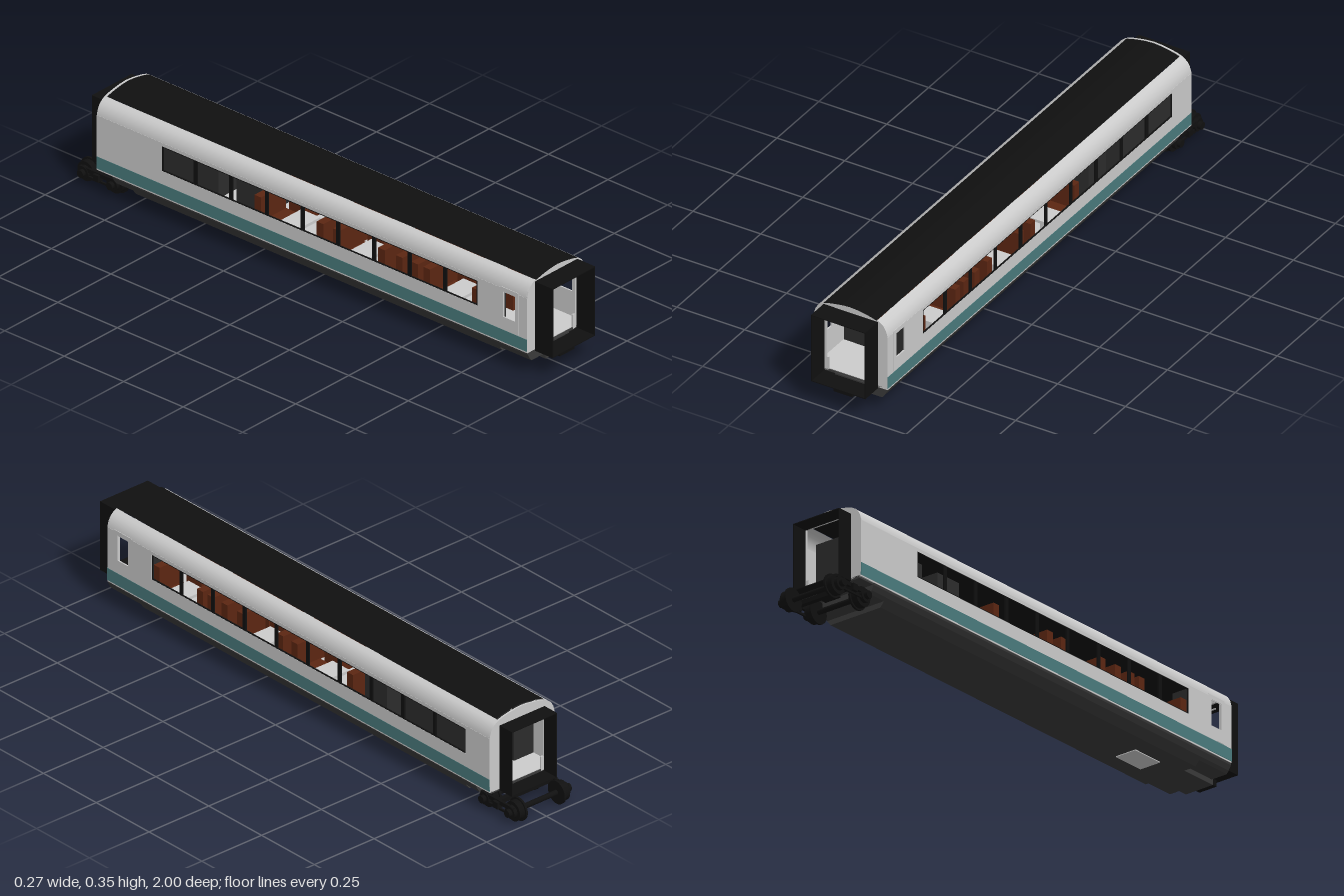
import * as THREE from 'three';

const mat = (color) => new THREE.MeshStandardMaterial({ color, side: THREE.DoubleSide });

export function createModel() {
  const root = new THREE.Group();
  const grey = mat(0xcccccc), black = mat(0x101010), dark = mat(0x3a3a3a),
    inner = mat(0x2c2c2c), teal = mat(0x4a7b7d), brown = mat(0x5c2612);

  const add = (name, geo, m) => {
    const mesh = new THREE.Mesh(geo, m);
    mesh.name = name;
    root.add(mesh);
    return mesh;
  };
  // box given by its limits
  const box = (name, m, x0, x1, y0, y1, z0, z1) =>
    add(name, new THREE.BoxGeometry(x1 - x0, y1 - y0, z1 - z0), m)
      .position.set((x0 + x1) / 2, (y0 + y1) / 2, (z0 + z1) / 2);
  const shapeOf = (pts) => new THREE.Shape(pts.map((p) => new THREE.Vector2(...p)));
  const rect = (a, b, c, d) => [[a, c], [b, c], [b, d], [a, d]];
  const holed = (outer, ...holes) => {
    const s = shapeOf(outer);
    s.holes = holes.map((h) => new THREE.Path(h.map((p) => new THREE.Vector2(...p))));
    return s;
  };
  const prism = (shape, z0, z1) =>
    new THREE.ExtrudeGeometry(shape, { depth: z1 - z0, bevelEnabled: false }).translate(0, 0, z0);
  // side panel drawn in (z, y), spanning x0..x1
  const sidePanel = (shape, x0, x1) =>
    new THREE.ExtrudeGeometry(shape, { depth: x1 - x0, bevelEnabled: false })
      .rotateY(-Math.PI / 2).translate(x1, 0, 0);
  // smooth open sheet along z, following an (x, y) profile
  const sheet = (pts, z0, z1) => {
    const pos = [], idx = [];
    pts.forEach(([x, y], i) => {
      pos.push(x, y, z0, x, y, z1);
      if (i) idx.push(2 * i - 2, 2 * i, 2 * i - 1, 2 * i - 1, 2 * i, 2 * i + 1);
    });
    const g = new THREE.BufferGeometry();
    g.setAttribute('position', new THREE.Float32BufferAttribute(pos, 3));
    g.setIndex(idx);
    g.computeVertexNormals();
    return g;
  };
  const mirror = (pts) => pts.map(([x, y]) => [-x, y]).reverse();

  const Z0 = -0.885, Z1 = 0.925;
  const shoulder = [[0.136, 0.268], [0.135, 0.285], [0.13, 0.302], [0.121, 0.317], [0.11, 0.326], [0.098, 0.333]];
  const crown = [[0.098, 0.333], [0.078, 0.339], [0.053, 0.344], [0.027, 0.348], [0, 0.35]];
  const fullCrown = [...crown, ...mirror(crown).slice(1)];

  // side walls with window band, pillars, door and stripe
  for (const s of [1, -1]) {
    const side = s > 0 ? 'left' : 'right';
    const span = (a, b) => (s > 0 ? [a, b] : [-b, -a]);
    const bandEnd = s > 0 ? -0.77 : -0.61;
    const doorWindow = rect(0.825, 0.875, 0.18, 0.27);
    const wall = holed(rect(Z0, Z1, 0.085, 0.28), rect(bandEnd, 0.715, 0.18, 0.268), doorWindow);
    add(side + 'Wall', sidePanel(wall, ...span(0.132, 0.136)), grey);
    add(side + 'Door', sidePanel(holed(rect(0.812, 0.89, 0.136, 0.285), doorWindow), ...span(0.135, 0.137)), grey);
    box(side + 'Stripe', teal, ...span(0.134, 0.1368), 0.09, 0.133, Z0, Z1);
    for (let z = 0.578; z > bandEnd + 0.05; z -= 0.15)
      box(side + 'WindowPillar', black, ...span(0.13, 0.135), 0.178, 0.27, z - 0.007, z + 0.007);
    add(side + 'WindowFrame', sidePanel(holed(rect(bandEnd - 0.003, 0.718, 0.177, 0.271),
      rect(bandEnd + 0.003, 0.712, 0.183, 0.265)), ...span(0.131, 0.1355)), black);
    add(side + 'Shoulder', sheet(s > 0 ? shoulder : mirror(shoulder), Z0, Z1), grey);
  }

  // black roof panel
  add('roof', sheet(fullCrown.map(([x, y]) => [x, y + 0.001]), -0.875, 0.93), black);

  // end arches, open at the doorway
  const arch = shapeOf([
    [0.132, 0.085], ...shoulder, ...crown.slice(1), ...mirror(crown).slice(1), ...mirror(shoulder).slice(1),
    [-0.132, 0.085], [-0.08, 0.085], [-0.08, 0.135], [-0.089, 0.135], [-0.089, 0.31],
    [0.089, 0.31], [0.089, 0.135], [0.08, 0.135], [0.08, 0.085],
  ]);
  add('frontEnd', prism(arch, Z1 - 0.006, Z1), grey);
  add('rearEnd', prism(arch, Z0, Z0 + 0.006), grey);
  box('frontHeaderRail', grey, -0.089, 0.089, 0.277, 0.28, 0.9, 0.905);

  // gangway tunnels
  const tunnel = (w, top) => holed(rect(-w, w, 0.08, top), rect(-w + 0.003, w - 0.003, 0.083, top - 0.003));
  add('frontGangway', prism(tunnel(0.1, 0.327), Z1, 1), black);
  add('rearGangway', prism(tunnel(0.094, 0.313), -0.943, Z0), black);

  // skirt and underside, shallower towards the ends
  const skirt = (low, w) => shapeOf([
    [-w, low], [w, low], [0.124, 0.062], [0.133, 0.078], [0.135, 0.09],
    [-0.135, 0.09], [-0.133, 0.078], [-0.124, 0.062],
  ]);
  add('skirt', prism(skirt(0.034, 0.102), -0.75, 0.79), dark);
  add('frontSkirt', prism(skirt(0.052, 0.116), 0.79, Z1), dark);
  add('rearSkirt', prism(skirt(0.052, 0.116), -0.82, -0.75), dark);
  box('rearUnderfloor', dark, -0.13, 0.13, 0.08, 0.09, Z0, -0.82);
  box('floor', grey, -0.132, 0.132, 0.088, 0.092, Z0 + 0.004, Z1 - 0.004);
  box('underfloorPlate', grey, -0.04, 0.04, 0.031, 0.036, 0.57, 0.69);
  box('frontBeam', dark, -0.055, 0.055, 0.035, 0.088, 0.79, 0.93);
  box('coupler', black, -0.035, 0.035, 0.05, 0.072, 0.92, 0.972);

  // vestibule partitions and rear compartments
  for (const s of [1, -1])
    box('vestibulePartition', inner, s > 0 ? 0.045 : -0.131, s > 0 ? 0.131 : -0.045, 0.092, 0.288, 0.745, 0.755);
  box('compartment', inner, -0.033, 0.128, 0.092, 0.305, -0.39, -0.285);
  box('rearCompartment', inner, -0.033, 0.128, 0.092, 0.305, -0.79, -0.465);
  box('rearPartition', inner, -0.131, -0.05, 0.092, 0.288, -0.79, -0.78);

  // seats: z of the backrest and the direction the seat faces
  const seats = [[0.7, -1], [0.495, 1], [0.445, -1], [0.38, -1], [0.305, -1], [0.115, 1], [0.047, -1], [-0.215, 1]];
  for (const [x0, x1] of [[-0.128, -0.01], [0.034, 0.128]]) {
    for (const [z, f] of seats) {
      box('seatBack', brown, x0, x1, 0.092, 0.23, z - 0.014, z + 0.014);
      const end = z + f * 0.055;
      box('seatCushion', brown, x0, x1, 0.092, 0.145, Math.min(z, end), Math.max(z, end));
    }
    // tables between facing seats
    for (const z of [0.598, 0.21, -0.084]) {
      const a = x0 < 0 ? x0 : x0 + 0.015, b = x0 < 0 ? x1 - 0.015 : x1;
      box('tableTop', grey, a, b, 0.165, 0.175, z - 0.04, z + 0.04);
      box('tableLeg', grey, (a + b) / 2 - 0.01, (a + b) / 2 + 0.01, 0.092, 0.165, z - 0.01, z + 0.01);
    }
  }

  // bogie
  const disc = (name, r, x0, x1, y, z) =>
    add(name, new THREE.CylinderGeometry(r, r, x1 - x0, 24).rotateZ(Math.PI / 2), black)
      .position.set((x0 + x1) / 2, y, z);
  for (const z of [-0.838, -0.96]) {
    disc('axle', 0.009, -0.11, 0.11, 0.04, z);
    for (const s of [1, -1]) {
      const d = (name, r, a, b) => disc(name, r, s > 0 ? a : -b, s > 0 ? b : -a, 0.04, z);
      d('wheelFlange', 0.04, 0.077, 0.084);
      d('wheelTread', 0.034, 0.084, 0.105);
      d('axleBox', 0.022, 0.105, 0.118);
      d('axleCap', 0.013, 0.118, 0.131);
    }
  }
  for (const s of [1, -1]) {
    const span = (a, b) => (s > 0 ? [a, b] : [-b, -a]);
    box('bogieSideFrame', black, ...span(0.107, 0.116), 0.046, 0.06, -0.975, -0.82);
    box('bogieLowerBar', black, ...span(0.109, 0.115), 0.026, 0.033, -0.96, -0.838);
    box('bogieSpring', black, ...span(0.104, 0.126), 0.033, 0.056, -0.91, -0.888);
  }
  box('bogieBolster', black, -0.107, 0.107, 0.045, 0.06, -0.908, -0.89);
  box('bogiePivot', black, -0.03, 0.03, 0.05, 0.08, -0.9, -0.86);

  return root;
}
